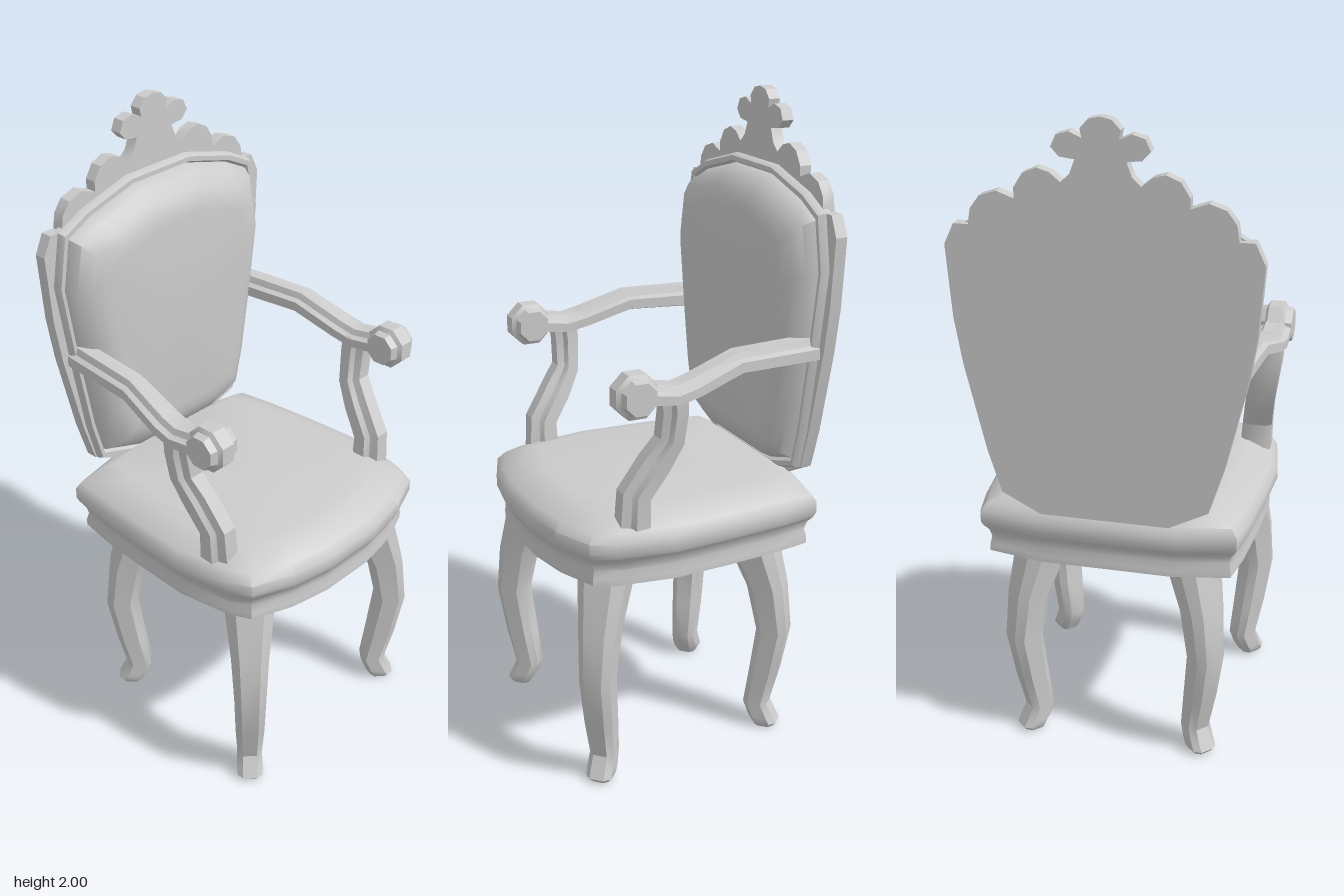
import * as THREE from 'three';
import { toCreasedNormals } from 'three/addons/utils/BufferGeometryUtils.js';

const material = new THREE.MeshStandardMaterial({ color: 0xcccccc });
const V = (x, y, z) => new THREE.Vector3(x, y, z);

// Mirrors a half outline (x >= 0) into a closed loop, skipping doubled points on the axis
function mirrored(half) {
  const other = half.filter(p => p[0] > 0).map(([x, y]) => [-x, y]).reverse();
  return [...half, ...other];
}

// Skins equal-length rings of points and closes both ends; always faces outward
function loft(rings, crease = 0.6) {
  const tris = [];
  const n = rings[0].length;
  for (let i = 0; i < rings.length - 1; i++) {
    for (let j = 0; j < n; j++) {
      const k = (j + 1) % n;
      const [a, b, c, d] = [rings[i][j], rings[i][k], rings[i + 1][k], rings[i + 1][j]];
      tris.push([a, b, c], [a, c, d]);
    }
  }
  const cap = (ring, flip) => {
    const mid = ring.reduce((s, p) => s.add(p), V(0, 0, 0)).divideScalar(n);
    ring.forEach((p, j) => {
      const q = ring[(j + 1) % n];
      tris.push(flip ? [mid, q, p] : [mid, p, q]);
    });
  };
  cap(rings[0], true);
  cap(rings[rings.length - 1], false);
  const volume = tris.reduce((s, [a, b, c]) => s + a.dot(b.clone().cross(c)), 0);
  if (volume < 0) tris.forEach(t => t.reverse());
  const geometry = new THREE.BufferGeometry().setFromPoints(tris.flat());
  return toCreasedNormals(geometry, crease);
}

// Sweeps a section along a path [x, y, z, width, depth] lying close to the yz plane
function sweep(path, section) {
  return loft(path.map(([x, y, z, w, d], i) => {
    const a = path[Math.max(i - 1, 0)], b = path[Math.min(i + 1, path.length - 1)];
    const len = Math.hypot(b[1] - a[1], b[2] - a[2]);
    const ty = (b[1] - a[1]) / len, tz = (b[2] - a[2]) / len;
    return section.map(([u, v]) => V(x + u * w, y + v * d * tz, z - v * d * ty));
  }), 0.5);
}

function add(parent, name, geometry) {
  const mesh = new THREE.Mesh(geometry, material);
  mesh.name = name;
  parent.add(mesh);
  return mesh;
}

// Chamfered square leg turned to face the corner; path rows are [y, offset, width]
function legGeometry(sx, sz, dx) {
  const path = [[0.68, 0.255, 0.155], [0.5, 0.3, 0.115], [0.35, 0.317, 0.098],
    [0.2, 0.3, 0.09], [0.08, 0.283, 0.078], [0.035, 0.297, 0.082], [0.015, 0.305, 0.08], [0, 0.303, 0.06]];
  const section = [[0.5, -0.28], [0.5, 0.28], [0.28, 0.5], [-0.28, 0.5],
    [-0.5, 0.28], [-0.5, -0.28], [-0.28, -0.5], [0.28, -0.5]];
  return loft(path.map(([y, c, w]) => section.map(([u, v]) =>
    V(sx * (c + dx + (u + v) * w * Math.SQRT1_2), y, sz * (c + (u - v) * w * Math.SQRT1_2)))));
}

// Moulded arm section: broad base with a raised rib
const moulding = [[0.5, -0.4], [0.5, 0.08], [0.33, 0.2], [0.25, 0.5],
  [-0.25, 0.5], [-0.33, 0.2], [-0.5, 0.08], [-0.5, -0.4], [-0.3, -0.5], [0.3, -0.5]];

function buildArm(side) {
  const arm = new THREE.Group();
  arm.name = side > 0 ? 'leftArm' : 'rightArm';
  const place = rows => rows.map(([x, ...rest]) => [side * x, ...rest]);
  add(arm, 'armRail', sweep(place([[0.343, 1.285, -0.39, 0.085, 0.07], [0.37, 1.29, -0.11, 0.09, 0.062],
    [0.388, 1.245, 0.04, 0.1, 0.056], [0.392, 1.232, 0.1, 0.1, 0.056], [0.394, 1.248, 0.21, 0.1, 0.06]]), moulding));
  add(arm, 'armSupport', sweep(place([[0.345, 0.82, 0.205, 0.095, 0.095], [0.35, 0.93, 0.203, 0.092, 0.088],
    [0.362, 1.02, 0.145, 0.09, 0.085], [0.375, 1.09, 0.105, 0.09, 0.072], [0.388, 1.18, 0.1, 0.09, 0.075],
    [0.39, 1.24, 0.105, 0.09, 0.08]]).reverse(), moulding));
  // Rounded hand end with a raised middle band
  const profile = [[0, -0.052], [0.05, -0.052], [0.057, -0.03], [0.07, -0.022],
    [0.07, 0.022], [0.057, 0.03], [0.05, 0.052], [0, 0.052]].map(p => new THREE.Vector2(...p));
  const end = new THREE.LatheGeometry(profile, 8);
  end.rotateY(Math.PI / 8).rotateZ(Math.PI / 2);
  add(arm, 'handEnd', toCreasedNormals(end.toNonIndexed(), 0.5)).position.set(side * 0.393, 1.243, 0.22);
  return arm;
}

export function createModel() {
  const chair = new THREE.Group();
  chair.name = 'armchair';

  // Legs: the rear pair stands closer together
  for (const sx of [1, -1]) {
    add(chair, 'frontLeg', legGeometry(sx, 1, 0.025));
    add(chair, 'rearLeg', legGeometry(sx, -1, -0.03));
    chair.add(buildArm(sx));
  }

  // Seat: rail and cushion share one plan outline
  const plan = mirrored([[0.1, 0.427], [0.24, 0.402], [0.37, 0.35], [0.402, 0.28], [0.43, 0.1],
    [0.42, -0.1], [0.405, -0.28], [0.385, -0.395], [0.21, -0.43]]);
  const seatRings = rows => rows.map(([y, s, sz = s, shift = 0]) =>
    plan.map(([x, z]) => V(x * s, y, z * sz + shift)));
  add(chair, 'seatRail', loft(seatRings([[0.665, 0.95], [0.685, 0.95], [0.71, 0.935], [0.735, 0.95], [0.755, 0.985]])));
  add(chair, 'seatCushion', loft(seatRings([[0.755, 0.985], [0.77, 1], [0.805, 1],
    [0.83, 0.955, 0.955, -0.005], [0.862, 0.8, 0.85, -0.02], [0.87, 0.7, 0.77, -0.03]]), 0.8));

  // Back plate with scalloped crest
  const crest = mirrored([[0, 2], [0.032, 1.993], [0.055, 1.967], [0.05, 1.942], [0.085, 1.958], [0.12, 1.948],
    [0.135, 1.915], [0.112, 1.89], [0.07, 1.885], [0.085, 1.845], [0.11, 1.822], [0.14, 1.847], [0.175, 1.857],
    [0.215, 1.84], [0.24, 1.8], [0.24, 1.77], [0.29, 1.788], [0.338, 1.772], [0.365, 1.735], [0.372, 1.69],
    [0.415, 1.69], [0.443, 1.63], [0.428, 1.42], [0.405, 1.28], [0.345, 1.02], [0.305, 0.89], [0.19, 0.83]]);
  const shape = new THREE.Shape(crest.map(p => new THREE.Vector2(...p)));
  const plate = new THREE.ExtrudeGeometry(shape, { depth: 0.037, bevelEnabled: false });
  add(chair, 'backPlate', toCreasedNormals(plate, 0.5)).position.z = -0.42;

  // Moulded frame and padded panel, rings shrinking toward the panel centre
  const panel = mirrored([[0.12, 1.785], [0.3, 1.735], [0.388, 1.69], [0.417, 1.53], [0.375, 1.25],
    [0.335, 1.02], [0.3, 0.89], [0.18, 0.85]]);
  const panelRings = rows => rows.map(([s, z]) => panel.map(([x, y]) => V(x * s, 1.32 + (y - 1.32) * s, z)));
  add(chair, 'backFrame', loft(panelRings([[1, -0.4], [1, -0.372], [0.985, -0.358], [0.955, -0.358], [0.935, -0.375]])));
  add(chair, 'backCushion', loft(panelRings([[0.94, -0.38], [0.935, -0.362], [0.9, -0.33],
    [0.83, -0.3], [0.75, -0.283], [0.68, -0.279]]), 0.8));

  return chair;
}
